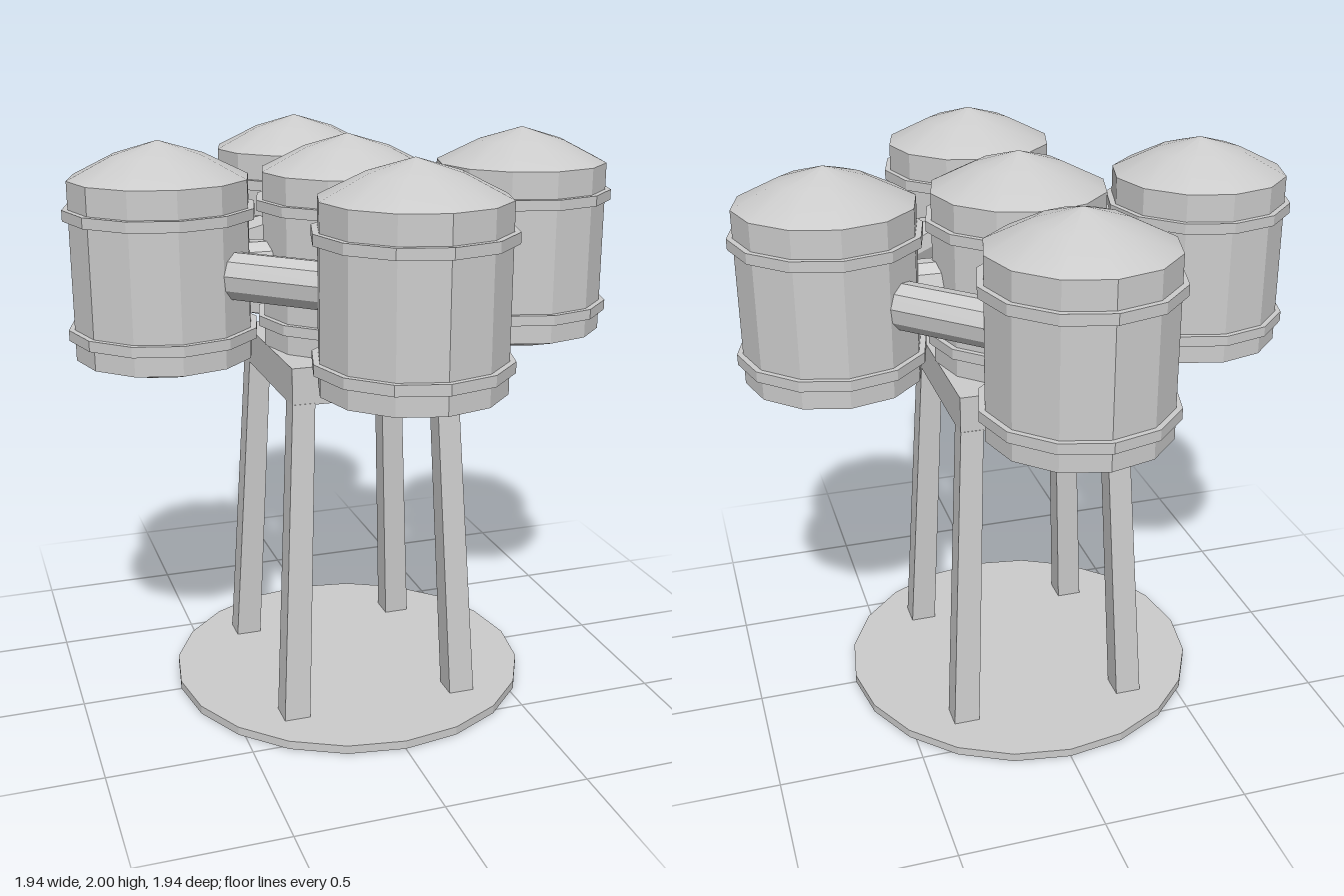
import * as THREE from 'three';

const SIDES = 12;
const TANK_R = 0.3;
const SPREAD = 0.648;
const PIPE_Y = 1.58;

const flat = new THREE.MeshStandardMaterial({ color: 0xcccccc, flatShading: true });
const smooth = new THREE.MeshStandardMaterial({ color: 0xcccccc });

function add(parent, name, geometry, material = flat) {
  const mesh = new THREE.Mesh(geometry, material);
  mesh.name = name;
  parent.add(mesh);
  return mesh;
}

// Horizontal pipe between two points
function addPipe(parent, name, a, b, radius) {
  const dir = b.clone().sub(a);
  const pipe = add(parent, name, new THREE.CylinderGeometry(radius, radius, dir.length(), 10));
  pipe.position.copy(a).add(b).multiplyScalar(0.5);
  pipe.quaternion.setFromUnitVectors(new THREE.Vector3(0, 1, 0), dir.normalize());
}

function lathe(points) {
  return new THREE.LatheGeometry(points.map(([r, y]) => new THREE.Vector2(r, y)), SIDES);
}

// Faceted tank with domed ends and two bands
function createTank(name, x, z) {
  const tank = new THREE.Group();
  tank.name = name;
  tank.position.set(x, 0, z);
  add(tank, 'tankWall', new THREE.CylinderGeometry(TANK_R, TANK_R, 0.595, SIDES, 1, true)).position.y = 1.5825;
  add(tank, 'topDome', lathe([[TANK_R, 1.88], [0.15, 1.955], [0, 2]]), smooth);
  add(tank, 'bottomDome', lathe([[0, 1.21], [0.15, 1.24], [TANK_R, 1.285]]), smooth);
  for (const y of [1.372, 1.77]) {
    add(tank, 'band', new THREE.CylinderGeometry(0.32, 0.32, 0.036, SIDES)).position.y = y;
  }
  return tank;
}

// Square leg that leans inward and narrows towards the top
function createLegGeometry(sx, sz) {
  const geometry = new THREE.BoxGeometry(1, 1, 1);
  const p = geometry.attributes.position;
  for (let i = 0; i < p.count; i++) {
    const top = p.getY(i) > 0;
    const size = top ? 0.078 : 0.092;
    p.setXYZ(
      i,
      sx * (top ? 0.256 : 0.31) + p.getX(i) * size,
      top ? 1.16 : 0.02,
      sz * (top ? 0.285 : 0.345) + p.getZ(i) * size
    );
  }
  geometry.computeVertexNormals();
  return geometry;
}

export function createModel() {
  const model = new THREE.Group();
  model.name = 'tankCluster';

  // Base disc
  add(model, 'base', new THREE.CylinderGeometry(0.643, 0.643, 0.03, 20)).position.y = 0.015;

  // Stand
  for (const sx of [-1, 1]) {
    for (const sz of [-1, 1]) add(model, 'leg', createLegGeometry(sx, sz));
  }
  add(model, 'platform', new THREE.BoxGeometry(0.59, 0.13, 0.645)).position.y = 1.22;

  // Centre tank, four outer tanks and the pipes joining them
  model.add(createTank('centreTank', 0, 0));
  const centre = new THREE.Vector3(0, PIPE_Y, 0);
  const spots = [0, 1, 2, 3].map((i) => {
    const a = (i * Math.PI) / 2;
    return new THREE.Vector3(Math.cos(a) * SPREAD, PIPE_Y, Math.sin(a) * SPREAD);
  });
  spots.forEach((spot, i) => {
    model.add(createTank('outerTank', spot.x, spot.z));
    addPipe(model, 'outerPipe', spot, spots[(i + 1) % 4], 0.08);
    addPipe(model, 'innerPipe', centre, spot, 0.075);
  });

  return model;
}
